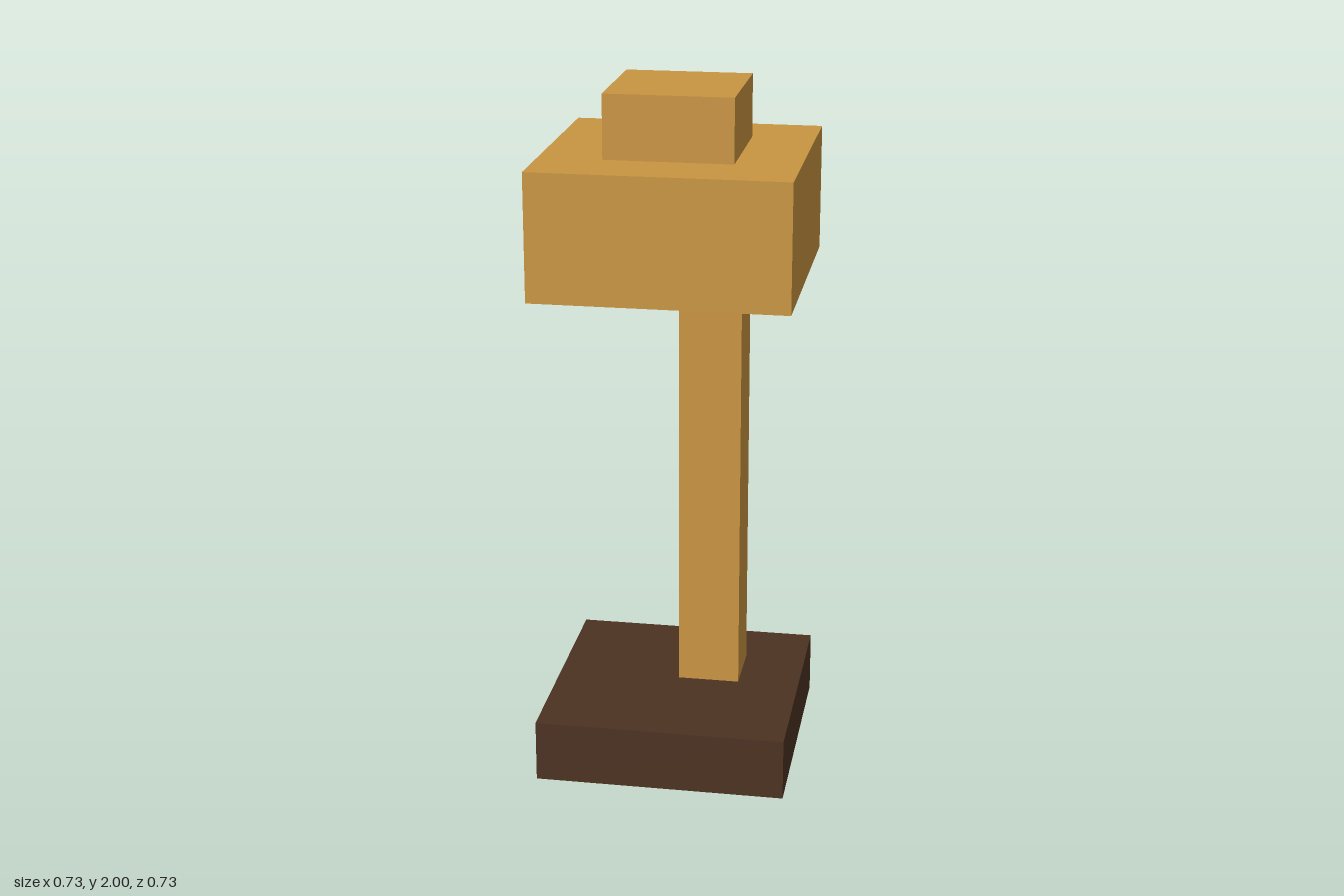
import * as THREE from 'three';

// One block of the grid: the model is 11 units tall
const U = 2 / 11;

export function createModel() {
  const model = new THREE.Group();
  model.name = 'blockPillar';

  const lightWood = new THREE.MeshStandardMaterial({ color: 0xc89441 });
  lightWood.name = 'lightWood';
  const darkWood = new THREE.MeshStandardMaterial({ color: 0x4c3222 });
  darkWood.name = 'darkWood';

  // Square block: width and height in units, bottom level, x and z of its centre
  function block(name, width, height, bottom, material, x = 0, z = 0) {
    const mesh = new THREE.Mesh(new THREE.BoxGeometry(width * U, height * U, width * U), material);
    mesh.name = name;
    mesh.position.set(x * U, (bottom + height / 2) * U, z * U);
    model.add(mesh);
  }

  block('base', 4, 1, 0, darkWood);
  // The post stands off centre, towards the back left
  block('post', 1, 7, 1, lightWood, 0.5, -0.5);
  block('head', 4, 2, 8, lightWood);
  block('cap', 2, 1, 10, lightWood);

  return model;
}
